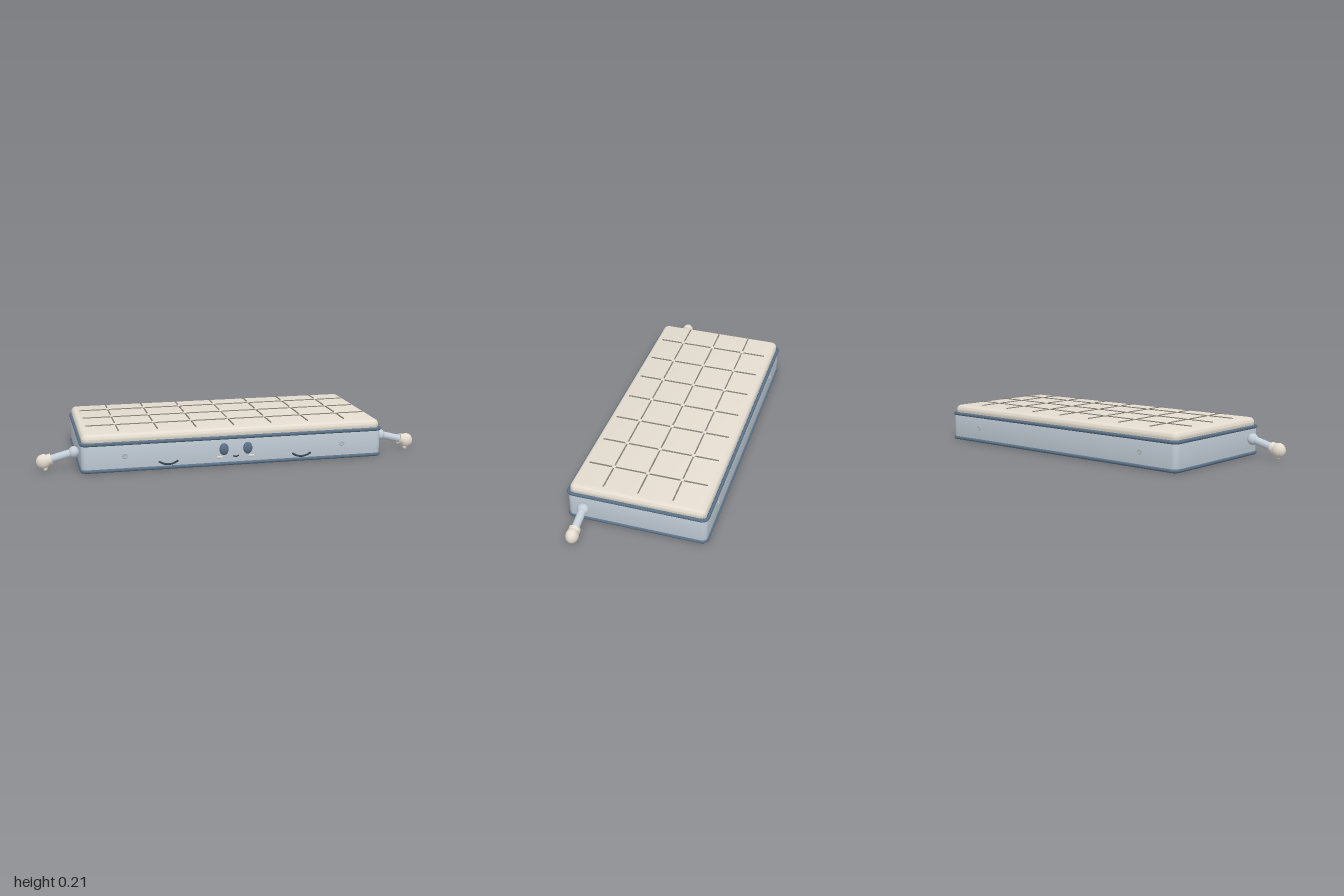
import * as THREE from 'three';
import { toCreasedNormals } from 'three/addons/utils/BufferGeometryUtils.js';

const mat = (name, color) => {
  const m = new THREE.MeshStandardMaterial({ color });
  m.name = name;
  return m;
};

// Rounded rectangle outline, half sizes hx and hy
function roundedRect(hx, hy, r) {
  const s = new THREE.Shape();
  s.moveTo(-hx + r, -hy);
  s.lineTo(hx - r, -hy);
  s.absarc(hx - r, -hy + r, r, -Math.PI / 2, 0);
  s.lineTo(hx, hy - r);
  s.absarc(hx - r, hy - r, r, 0, Math.PI / 2);
  s.lineTo(-hx + r, hy);
  s.absarc(-hx + r, hy - r, r, Math.PI / 2, Math.PI);
  s.lineTo(-hx, -hy + r);
  s.absarc(-hx + r, -hy + r, r, Math.PI, Math.PI * 1.5);
  return s;
}

// Flat slab from y0 to y1 with rounded corners and edges
function slab(hx, hz, y0, y1, corner, bevel) {
  const g = new THREE.ExtrudeGeometry(roundedRect(hx, hz, corner), {
    depth: y1 - y0 - 2 * bevel, bevelThickness: bevel, bevelSize: bevel,
    bevelOffset: -bevel, bevelSegments: 6, curveSegments: 8,
  });
  g.rotateX(-Math.PI / 2).translate(0, y0 + bevel, 0);
  return toCreasedNormals(g, 0.6);
}

// Closed piping around the mattress
function piping(hx, hz, r) {
  const pts = roundedRect(hx, hz, 0.028).getPoints(8).map(p => new THREE.Vector3(p.x, 0, -p.y));
  const path = new THREE.CurvePath();
  pts.forEach((p, i) => {
    const q = pts[(i + 1) % pts.length];
    if (p.distanceTo(q) > 1e-5) path.add(new THREE.LineCurve3(p, q));
  });
  return new THREE.TubeGeometry(path, 500, r, 10, true);
}

// Smile-shaped cord bowing downwards
function smile(half, sag, r) {
  const c = new THREE.QuadraticBezierCurve3(
    new THREE.Vector3(-half, 0, 0), new THREE.Vector3(0, -2 * sag, 0), new THREE.Vector3(half, 0, 0));
  return new THREE.TubeGeometry(c, 20, r, 8, false);
}

export function createModel() {
  const fabric = mat('pale blue fabric', 0xc4cfd9);
  const cream = mat('cream', 0xe4dccf);
  const trim = mat('slate blue trim', 0x5a7186);
  const dark = mat('dark navy', 0x36434f);
  const seam = mat('seam grey', 0x88837a);
  const metal = mat('vent grey', 0xb4bbc0);

  const root = new THREE.Group();
  root.name = 'mattress';
  const ZC = -0.005, FRONT = 0.349, BACK = -0.359;
  const add = (name, geo, m, x = 0, y = 0, z = 0, parent = root) => {
    const mesh = new THREE.Mesh(geo, m);
    mesh.name = name;
    mesh.position.set(x, y, z);
    parent.add(mesh);
    return mesh;
  };
  const sphere = new THREE.SphereGeometry(1, 28, 18);

  // Body, top pad and piping
  add('body', slab(0.783, 0.354, 0.006, 0.147, 0.028, 0.008), fabric, 0, 0, ZC);
  add('topPad', slab(0.778, 0.346, 0.135, 0.192, 0.032, 0.025), cream, 0, 0, ZC);
  const pipe = piping(0.781, 0.353, 0.009);
  add('bottomPiping', pipe, trim, 0, 0.009, ZC);
  add('topPiping', pipe, trim, 0, 0.145, ZC);

  // Quilting seams and tufts
  const rows = [-0.176, 0, 0.176];
  const TOP = 0.2;
  for (const dz of rows) add('seamRow', new THREE.BoxGeometry(1.486, 0.004, 0.006), seam, 0, TOP, ZC + dz);
  for (let i = -3; i <= 3; i++) {
    const x = i * 0.197;
    add('seamColumn', new THREE.BoxGeometry(0.006, 0.004, 0.612), seam, x, TOP, ZC);
    for (const dz of rows) add('tuft', sphere, cream, x, 0.203, ZC + dz).scale.set(0.011, 0.005, 0.011);
  }

  // Air vents on front and back
  for (const sx of [-1, 1]) {
    for (const [z, s] of [[FRONT, 1], [BACK, -1]]) {
      add('ventRing', new THREE.TorusGeometry(0.0105, 0.0035, 8, 20), metal, sx * 0.567, 0.08, z + s * 0.001);
      const disc = add('ventDisc', new THREE.CylinderGeometry(0.01, 0.01, 0.004, 20), metal, sx * 0.567, 0.08, z);
      disc.rotation.x = Math.PI / 2;
    }
  }

  // Face and side handles
  for (const sx of [-1, 1]) {
    add('eye', sphere, trim, sx * 0.062, 0.086, 0.35).scale.set(0.024, 0.031, 0.015);
    add('cheek', sphere, cream, sx * 0.083, 0.045, FRONT).scale.set(0.016, 0.007, 0.003);
    add('handle', smile(0.046, 0.015, 0.005), dark, sx * 0.348, 0.041, 0.354);
    for (const e of [-1, 1])
      add('handleEnd', sphere, dark, sx * 0.348 + e * 0.046, 0.041, 0.354).scale.setScalar(0.005);
  }
  add('mouth', smile(0.015, 0.005, 0.0035), dark, 0, 0.05, 0.351);

  // Arms, mirrored left and right
  const ARM_Z = 0.255;
  for (const sx of [-1, 1]) {
    const arm = new THREE.Group();
    arm.name = sx > 0 ? 'leftArm' : 'rightArm';
    root.add(arm);
    add('shoulder', sphere, fabric, sx * 0.812, 0.09, ARM_Z, arm).scale.set(0.027, 0.03, 0.03);
    const a = new THREE.Vector3(sx * 0.81, 0.091, ARM_Z), b = new THREE.Vector3(sx * 0.945, 0.056, ARM_Z);
    const dir = b.clone().sub(a);
    const turn = new THREE.Quaternion().setFromUnitVectors(new THREE.Vector3(0, 1, 0), dir.clone().normalize());
    const sleeve = add('sleeve', new THREE.CylinderGeometry(0.02, 0.02, dir.length(), 20), fabric,
      (a.x + b.x) / 2, (a.y + b.y) / 2, ARM_Z, arm);
    sleeve.quaternion.copy(turn);
    const cuff = add('cuff', new THREE.CylinderGeometry(0.029, 0.029, 0.02, 24), cream, sx * 0.932, 0.059, ARM_Z, arm);
    cuff.quaternion.copy(turn);
    add('hand', sphere, cream, sx * 0.963, 0.05, ARM_Z, arm).scale.set(0.037, 0.038, 0.032);
    const thumb = add('thumb', sphere, cream, sx * 0.954, 0.018, ARM_Z + 0.009, arm);
    thumb.scale.set(0.011, 0.016, 0.011);
    thumb.rotation.z = sx * 0.3;
  }
  return root;
}
